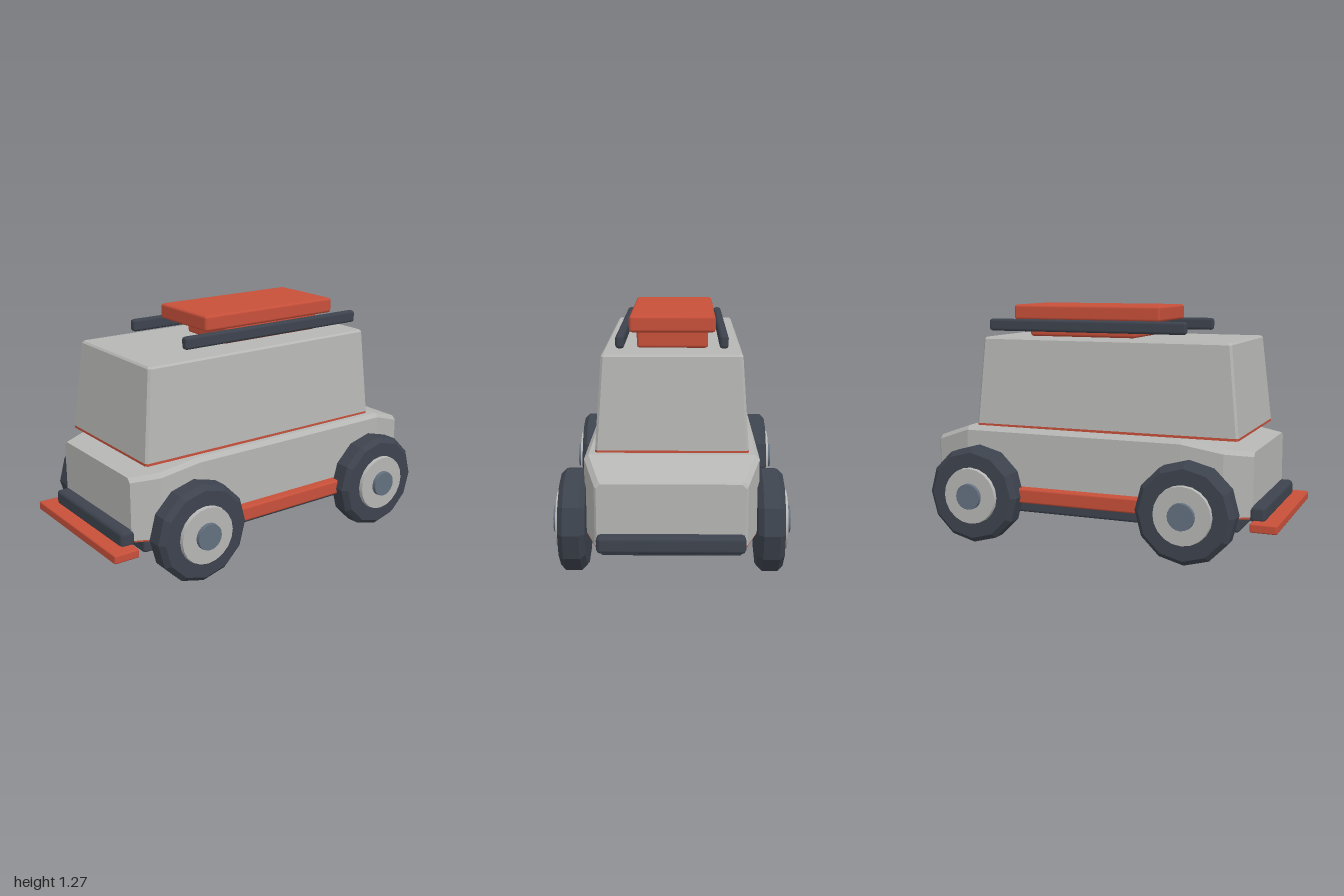
import * as THREE from 'three';
import { RoundedBoxGeometry } from 'three/addons/geometries/RoundedBoxGeometry.js';

const mat = (name, color) => {
  const m = new THREE.MeshStandardMaterial({ color });
  m.name = name;
  return m;
};

// Skin a list of matching convex rings, closing both ends
function loft(rings) {
  const pos = [];
  const tri = (a, b, c) => pos.push(...a, ...b, ...c);
  const n = rings[0].length, last = rings[rings.length - 1];
  for (let i = 0; i < rings.length - 1; i++) {
    for (let j = 0; j < n; j++) {
      const k = (j + 1) % n, p = rings[i], q = rings[i + 1];
      tri(p[j], p[k], q[k]);
      tri(p[j], q[k], q[j]);
    }
  }
  for (let j = 1; j < n - 1; j++) {
    tri(rings[0][0], rings[0][j + 1], rings[0][j]);
    tri(last[0], last[j], last[j + 1]);
  }
  const g = new THREE.BufferGeometry();
  g.setAttribute('position', new THREE.Float32BufferAttribute(pos, 3));
  g.computeVertexNormals();
  return g;
}

// Horizontal rectangle with cut corners
function plan(y, x0, x1, w, c) {
  return [
    [x1, y, w - c], [x1, y, c - w], [x1 - c, y, -w], [x0 + c, y, -w],
    [x0, y, c - w], [x0, y, w - c], [x0 + c, y, w], [x1 - c, y, w],
  ];
}

// Upright section across the body with cut top corners
function section(x, w, y0, y1, c) {
  return [
    [x, y1, w - c], [x, y1 - c, w], [x, y0, w],
    [x, y0, -w], [x, y1 - c, -w], [x, y1, c - w],
  ];
}

export function createModel() {
  const group = new THREE.Group();
  group.name = 'vehicle';
  const grey = mat('body grey', 0xb6b6b4);
  const red = mat('trim red', 0xc8503a);
  const dark = mat('rubber dark', 0x3d434e);
  const steel = mat('cap steel', 0x647080);

  const add = (name, geometry, material, parent = group) => {
    const m = new THREE.Mesh(geometry, material);
    m.name = name;
    parent.add(m);
    return m;
  };
  const box = (name, material, x0, x1, y0, y1, z0, z1, r) => {
    const g = new RoundedBoxGeometry(x1 - x0, y1 - y0, z1 - z0, 1, r);
    g.translate((x0 + x1) / 2, (y0 + y1) / 2, (z0 + z1) / 2);
    return add(name, g, material);
  };

  // Lower body: x, half width, top height
  const stations = [
    [-0.86, 0.345, 0.57], [-0.72, 0.41, 0.585], [-0.5, 0.43, 0.625],
    [0.72, 0.43, 0.628], [0.93, 0.365, 0.555], [0.94, 0.355, 0.545],
  ];
  add('lowerBody', loft(stations.map(([x, w, top]) => section(x, w, 0.24, top, 0.022))), grey);
  add('bodyUnderTrim', loft(stations.map(([x, w]) => section(x, w - 0.004, 0.23, 0.24, 0.001))), red);

  // Cabin with a thin trim line under it
  add('cabinTrim', loft([
    plan(0.626, -0.785, 0.687, 0.379, 0.012),
    plan(0.639, -0.785, 0.687, 0.379, 0.012),
  ]), red);
  add('cabin', loft([
    plan(0.639, -0.785, 0.687, 0.379, 0.012),
    plan(1.1, -0.735, 0.654, 0.347, 0.012),
    plan(1.11, -0.726, 0.645, 0.338, 0.012),
  ]), grey);

  // Roof load and chassis
  box('roofBoxBase', red, -0.165, 0.455, 1.11, 1.21, -0.18, 0.18, 0.015);
  box('roofBoxLid', red, -0.315, 0.535, 1.2, 1.283, -0.215, 0.215, 0.015);
  box('chassis', dark, -0.79, 0.85, 0.15, 0.232, -0.345, 0.345, 0.015);

  // Bumpers and rear step
  box('frontBumper', dark, 0.92, 0.996, 0.213, 0.3, -0.355, 0.355, 0.022);
  box('rearBumper', dark, -0.925, -0.84, 0.213, 0.3, -0.355, 0.355, 0.022);
  box('rearStep', red, -1, -0.86, 0.18, 0.226, -0.42, 0.42, 0.008);

  // Tyre outline, from the inner side to the outer side
  const tyre = new THREE.LatheGeometry([
    [0, -0.066], [0.235, -0.066], [0.262, -0.04], [0.262, 0.04], [0.235, 0.066], [0, 0.066],
  ].map(([r, y]) => new THREE.Vector2(r, y)), 12).toNonIndexed();
  tyre.computeVertexNormals();
  tyre.rotateX(Math.PI / 2);
  const disc = (r, z0, z1) =>
    new THREE.CylinderGeometry(r * 0.97, r, z1 - z0, 20).rotateX(Math.PI / 2).translate(0, 0, (z0 + z1) / 2);
  const hub = disc(0.155, 0.06, 0.086);
  const cap = disc(0.071, 0.08, 0.106);

  for (const side of [1, -1]) {
    const tag = side > 0 ? 'Near' : 'Far';
    const zc = 0.252 * side;
    box('roofRail' + tag, dark, -0.475, 0.66, 1.14, 1.206, zc - 0.022, zc + 0.022, 0.015);
    box('sill' + tag, red, -0.4, 0.48, 0.235, 0.315, side * 0.44 - 0.042, side * 0.44 + 0.042, 0.012);

    for (const [x, end] of [[-0.555, 'rear'], [0.635, 'front']]) {
      const wheel = new THREE.Group();
      wheel.name = end + 'Wheel' + tag;
      wheel.position.set(x, 0.27, side * 0.486);
      wheel.rotation.y = side > 0 ? 0 : Math.PI;
      add('tyre', tyre, dark, wheel);
      add('hub', hub, grey, wheel);
      add('hubCap', cap, steel, wheel);
      group.add(wheel);
    }
  }

  // Rest the wheels on the ground
  group.position.y = -0.008;
  return group;
}
